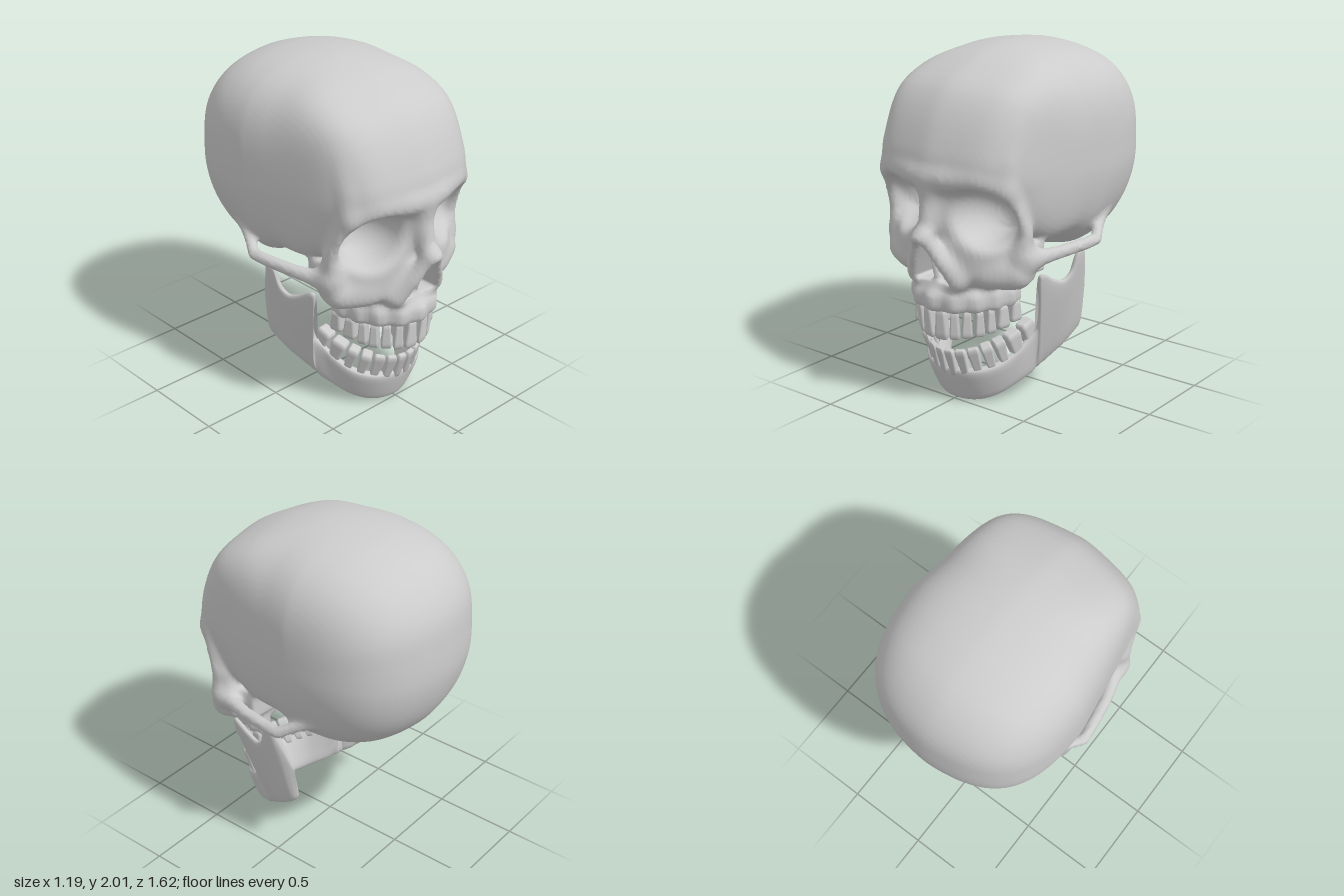
import * as THREE from 'three';
import { RoundedBoxGeometry } from 'three/addons/geometries/RoundedBoxGeometry.js';

const bone = new THREE.MeshStandardMaterial({ color: 0xcccccc });

// ---- Blending helpers ----
const ease = (a, b, v) => THREE.MathUtils.smoothstep(v, a, b);
const smin = (a, b, k) => Math.min(a, b) - Math.max(k - Math.abs(a - b), 0) ** 2 / (4 * k);
const smax = (a, b, k) => -smin(-a, -b, k);

// Distance to a chain of tapering rods; points are [x, y, z, radius]
function chain(x, y, z, pts) {
  let best = Infinity;
  for (let i = 0; i + 1 < pts.length; i++) {
    const a = pts[i], b = pts[i + 1];
    const dx = b[0] - a[0], dy = b[1] - a[1], dz = b[2] - a[2];
    const px = x - a[0], py = y - a[1], pz = z - a[2];
    const t = Math.min(1, Math.max(0, (px * dx + py * dy + pz * dz) / (dx * dx + dy * dy + dz * dz)));
    best = Math.min(best, Math.hypot(px - dx * t, py - dy * t, pz - dz * t) - a[3] - (b[3] - a[3]) * t);
  }
  return best;
}

function surface(pos, index) {
  const g = new THREE.BufferGeometry().setIndex(index);
  g.setAttribute('position', new THREE.Float32BufferAttribute(pos, 3));
  g.computeVertexNormals();
  return g;
}

// Meshes the zero surface of a field: one vertex per crossed cell, one quad per crossed edge
function sculpt(field, lo, hi, step) {
  const n = lo.map((v, i) => Math.ceil((hi[i] - v) / step) + 1);
  const stride = [1, n[0], n[0] * n[1]];
  const val = new Float32Array(n[0] * n[1] * n[2]);
  const id = new Int32Array(val.length).fill(-1);
  const pos = [], index = [];
  const each = (from, trim, fn) => {
    for (let k = from; k < n[2] - trim; k++)
      for (let j = from; j < n[1] - trim; j++)
        for (let i = from; i < n[0] - trim; i++) fn(i, j, k, i + stride[1] * j + stride[2] * k);
  };
  each(0, 0, (i, j, k, p) => { val[p] = field(lo[0] + i * step, lo[1] + j * step, lo[2] + k * step); });
  each(0, 1, (i, j, k, p) => {
    const sum = [0, 0, 0];
    let count = 0;
    for (let e = 0; e < 12; e++) {
      const a = e % 3, b = (a + 1) % 3, c = (a + 2) % 3, u = e < 6 ? 0 : 1, v = Math.floor(e / 3) % 2;
      const q = p + u * stride[b] + v * stride[c];
      const v0 = val[q], v1 = val[q + stride[a]];
      if ((v0 < 0) === (v1 < 0)) continue;
      sum[a] += v0 / (v0 - v1);
      sum[b] += u;
      sum[c] += v;
      count++;
    }
    if (!count) return;
    id[p] = pos.length / 3;
    pos.push(...[i, j, k].map((cell, a) => lo[a] + (cell + sum[a] / count) * step));
  });
  each(1, 1, (i, j, k, p) => {
    for (let a = 0; a < 3; a++) {
      const inside = val[p] < 0;
      if (inside === (val[p + stride[a]] < 0)) continue;
      const sb = stride[(a + 1) % 3], sc = stride[(a + 2) % 3];
      const q = [id[p], id[p - sb], id[p - sb - sc], id[p - sc]];
      if (!inside) q.reverse();
      index.push(q[0], q[1], q[2], q[0], q[2], q[3]);
    }
  });
  return surface(pos, index);
}

// ---- Braincase: side outline [z, y] as a polar radius table, swelled sideways ----
const CZ = -0.05, CY = 1.4;
const outline = new THREE.CatmullRomCurve3([
  [0.72, 1.36], [0.6, 1.2], [0.45, 1.02], [0.25, 0.9], [0, 0.87], [-0.1, 0.82], [-0.2, 0.775], [-0.3, 0.77],
  [-0.44, 0.8], [-0.6, 0.89], [-0.73, 1.05], [-0.8, 1.27], [-0.8, 1.5], [-0.77, 1.67], [-0.69, 1.8], [-0.57, 1.9],
  [-0.42, 1.96], [-0.3, 1.985], [-0.1, 2], [0.1, 1.985], [0.33, 1.92], [0.55, 1.79], [0.68, 1.57],
].map(([z, y]) => new THREE.Vector3(z - CZ, y - CY, 0)), true).getPoints(1500);
const radii = Array.from({ length: 360 }, (_, deg) => {
  const c = Math.cos(deg * Math.PI / 180), s = Math.sin(deg * Math.PI / 180);
  return Math.max(...outline.map(p => (p.x * c + p.y * s) / p.length() > 0.99996 ? p.length() : 0));
});

function braincase(x, y, z) {
  const deg = (Math.atan2(y - CY, z - CZ) * 180 / Math.PI + 360) % 360;
  const i = Math.floor(deg) % 360, f = deg - Math.floor(deg), low = ease(0, 0.4, 1.4 - y);
  const t = x / (0.588 - 0.15 * Math.max(0, z + 0.15)) / (1 - 0.09 * ease(0, 0.5, 1.35 - y));
  const radius = radii[i] * (1 - f) + radii[(i + 1) % 360] * f;
  const s = Math.hypot(y - CY, z - CZ) / radius * (1 + 0.12 * t * t / (t + 0.2));
  const n = 3.2 + 2.8 * ease(0, 0.5, z) + low * (0.3 + 2.5 * ease(-0.25, 0.1, z));
  return ((s ** n + t ** n) ** (1 / n) - 1) * 0.55;
}

// ---- Facial bones, left half (mirrored by |x|) ----
const brow = [[0, 1.335, 0.695, 0.05], [0.1, 1.34, 0.685, 0.05], [0.28, 1.345, 0.625, 0.045], [0.41, 1.3, 0.55, 0.04]];
const orbitBar = [[0.39, 1.62, 0.45, 0.03], [0.41, 1.45, 0.52, 0.035], [0.415, 1.3, 0.545, 0.04],
  [0.445, 1.17, 0.5, 0.04], [0.46, 1.05, 0.45, 0.04], [0.45, 0.93, 0.45, 0.05]];
const cheek = [[0.45, 0.9, 0.42, 0.06], [0.41, 0.82, 0.455, 0.08], [0.28, 0.81, 0.5, 0.08]];
const bridge = [[0, 1.24, 0.675, 0.055], [0, 1.08, 0.715, 0.045], [0, 1.02, 0.78, 0.024]];
const noseSide = [[0.025, 1.01, 0.755, 0.032], [0.085, 0.88, 0.7, 0.045], [0.14, 0.77, 0.635, 0.05]];
const septum = [[0, 0.97, 0.69, 0.014], [0, 0.75, 0.63, 0.018]];
const arch = [[0.455, 0.89, 0.42, 0.05], [0.525, 0.905, 0.2, 0.036], [0.557, 0.91, 0, 0.035],
  [0.565, 0.915, -0.08, 0.033], [0.53, 0.955, -0.15, 0.03], [0.48, 1.02, -0.28, 0.025]];

// Solid middle of the face, sloping back towards the temples
function midFace(x, y, z) {
  const r = (x / 0.49) ** 2.4 + (Math.max(0, z - 0.2) / 0.46) ** 2.4;
  const plan = (r ** (1 / 2.4) - 1) * 0.46;
  const back = 0.33 + 0.5 * Math.max(0, y - 0.95) - z;
  return smax(smax(plan, Math.abs(y - 1.03) - 0.28, 0.08), back, 0.05);
}

function upperJaw(x, y, z) {
  const d = ease(0.66, 0.74, y), zz = Math.max(0, z - 0.3);
  const ripple = 0.008 * (1 - d) * Math.cos(Math.atan2(x, zz) * 18);
  const plan = (Math.hypot(x / (0.32 - 0.03 * d), zz / (0.405 - 0.05 * d)) - 1) * 0.33 - ripple;
  const block = smax(smax(plan, Math.abs(y - 0.77) - 0.195, 0.05), 0.26 - z, 0.03);
  const palate = Math.max((Math.hypot(x / 0.22, zz / 0.3) - 1) * 0.22, y - 0.69);
  return smax(block, -palate, 0.04);
}

function skullField(sx, y, z) {
  const x = Math.abs(sx);
  let f = smin(braincase(x, y, z), midFace(x, y, z), 0.06);
  for (const part of [brow, orbitBar, cheek]) f = smin(f, chain(x, y, z, part), 0.06);
  // cross bar behind the cheeks
  f = smin(f, Math.max(x - 0.43, Math.abs(y - 0.87) - 0.09, Math.abs(z - 0.33) - 0.11), 0.03);
  f = smin(f, upperJaw(x, y, z), 0.06);
  f = smin(f, chain(x, y, z, bridge), 0.08);
  f = smin(f, chain(x, y, z, noseSide), 0.07);
  // eye socket
  const ex = (x - 0.292) / 0.172, ey = (y - 1.13 + 0.12 * (x - 0.292)) / 0.16, ez = (z - 0.62) / 0.25;
  f = smax(f, -(Math.hypot(ex, ey, ez) - 1) * 0.17, 0.06);
  // nasal opening
  const half = 0.38 * Math.max(0, 1 - y) ** 0.8;
  f = smax(f, -Math.max((x - half) * 0.9, y - 0.995, 0.745 - y, 0.53 - z), 0.02);
  f = smin(f, chain(x, y, z, septum), 0.02);
  return smin(f, chain(x, y, z, arch), 0.04);
}

// ---- Lower jaw: upright sections between a lower and an upper rail ----
function lowerJaw() {
  // lower x, y, z, upper x, y, z from the jaw angle to the chin
  const half = [
    [0.44, 0.4, -0.115, 0.465, 0.6, -0.115], [0.43, 0.36, -0.085, 0.505, 0.8, -0.045],
    [0.42, 0.33, -0.05, 0.53, 0.875, -0.005], [0.41, 0.3, -0.01, 0.53, 0.87, 0.045],
    [0.39, 0.26, 0.04, 0.515, 0.76, 0.085], [0.37, 0.23, 0.08, 0.5, 0.72, 0.135],
    [0.35, 0.2, 0.11, 0.49, 0.74, 0.21], [0.335, 0.18, 0.14, 0.485, 0.795, 0.31],
    [0.33, 0.17, 0.155, 0.475, 0.78, 0.33], [0.32, 0.16, 0.17, 0.43, 0.6, 0.25],
    [0.31, 0.145, 0.185, 0.37, 0.42, 0.2], [0.295, 0.12, 0.22, 0.335, 0.37, 0.23],
    [0.25, 0.08, 0.28, 0.31, 0.31, 0.3], [0.19, 0.035, 0.35, 0.25, 0.24, 0.42],
    [0.11, 0.005, 0.41, 0.15, 0.21, 0.505], [0, 0, 0.445, 0, 0.2, 0.53],
  ];
  const full = [...half, ...half.slice(0, -1).reverse().map(([a, b, c, d, e, f]) => [-a, b, c, -d, e, f])];
  const rail = o => new THREE.CatmullRomCurve3(full.map(s => new THREE.Vector3(s[o], s[o + 1], s[o + 2])));
  const low = rail(0), high = rail(3);
  const steps = (full.length - 1) * 4, ring = 24, pos = [], index = [];
  const round = v => Math.sign(v) * Math.abs(v) ** 0.55;
  for (let i = 0; i <= steps; i++) {
    const b = low.getPoint(i / steps), up = high.getPoint(i / steps).sub(b).multiplyScalar(0.5);
    const mid = b.clone().add(up);
    const side = low.getTangent(i / steps).cross(up).normalize();
    const close = Math.sqrt(Math.min(1, i / 4, (steps - i) / 4));
    const thick = (0.036 + 0.016 * ease(0.1, 0.45, b.z)) * close;
    for (let j = 0; j < ring; j++) {
      const a = j / ring * Math.PI * 2, c = round(Math.cos(a));
      const w = thick * round(Math.sin(a)) * (1 - 0.2 * (c + 1));
      pos.push(...mid.clone().addScaledVector(up, c).addScaledVector(side, w).toArray());
      if (i === steps) continue;
      const p = i * ring + j, q = i * ring + (j + 1) % ring;
      index.push(p, q, q + ring, p, q + ring, p + ring);
    }
  }
  return surface(pos, index);
}

// ---- Teeth: biting edge at y = 0, narrowing to the root at y = 1 ----
function tooth(tipDepth, rootDepth) {
  const g = new RoundedBoxGeometry(1, 1, 1, 3, 0.22).translate(0, 0.5, 0), p = g.attributes.position;
  for (let i = 0; i < p.count; i++) {
    const k = p.getY(i);
    p.setX(i, p.getX(i) * (1 - 0.4 * k));
    p.setZ(i, p.getZ(i) * (tipDepth + (rootDepth - tipDepth) * k));
  }
  return g;
}
const incisor = tooth(0.5, 1), molar = tooth(1, 0.8);

function teethRow(widths, rx, rz, frontHeight, backHeight, lower) {
  const row = new THREE.Group();
  const curve = new THREE.EllipseCurve(0, 0, rx, rz, Math.PI / 2, 0, true);
  const total = widths.reduce((a, b) => a + b), fit = curve.getLength() / total;
  let run = 0;
  widths.forEach((w, i) => {
    const u = (run + w / 2) / total, p = curve.getPointAt(u), t = curve.getTangentAt(u);
    run += w;
    for (const s of [1, -1]) {
      const m = new THREE.Mesh(i < 3 ? incisor : molar, bone);
      m.name = i < 3 ? 'frontTooth' : 'backTooth';
      m.position.set(s * p.x, 0, p.y);
      m.rotation.set(lower ? 0 : -0.2, s * Math.atan2(-t.y, t.x), lower ? Math.PI : 0);
      m.scale.set(w * fit * 0.97, frontHeight + (backHeight - frontHeight) * u, i < 3 ? 0.065 : 0.08);
      row.add(m);
    }
  });
  return row;
}

export function createModel() {
  const cranium = new THREE.Mesh(sculpt(skullField, [-0.663, 0.52, -0.86], [0.663, 2.06, 0.87], 0.017), bone);
  const jaw = new THREE.Mesh(lowerJaw(), bone);
  const upper = teethRow([0.08, 0.06, 0.065, 0.06, 0.06, 0.085, 0.085], 0.285, 0.39, 0.19, 0.12, false);
  upper.position.set(0, 0.49, 0.27);
  upper.rotation.x = 0.2;
  const lower = teethRow([0.055, 0.06, 0.065, 0.065, 0.065, 0.09, 0.09], 0.31, 0.415, 0.18, 0.15, true);
  lower.position.set(0, 0.48, 0.2);
  lower.rotation.x = 0.38;
  [cranium.name, jaw.name, upper.name, lower.name] = ['cranium', 'lowerJaw', 'upperTeeth', 'lowerTeeth'];
  const model = new THREE.Group().add(cranium, jaw, upper, lower);
  model.name = 'skull';
  return model;
}
